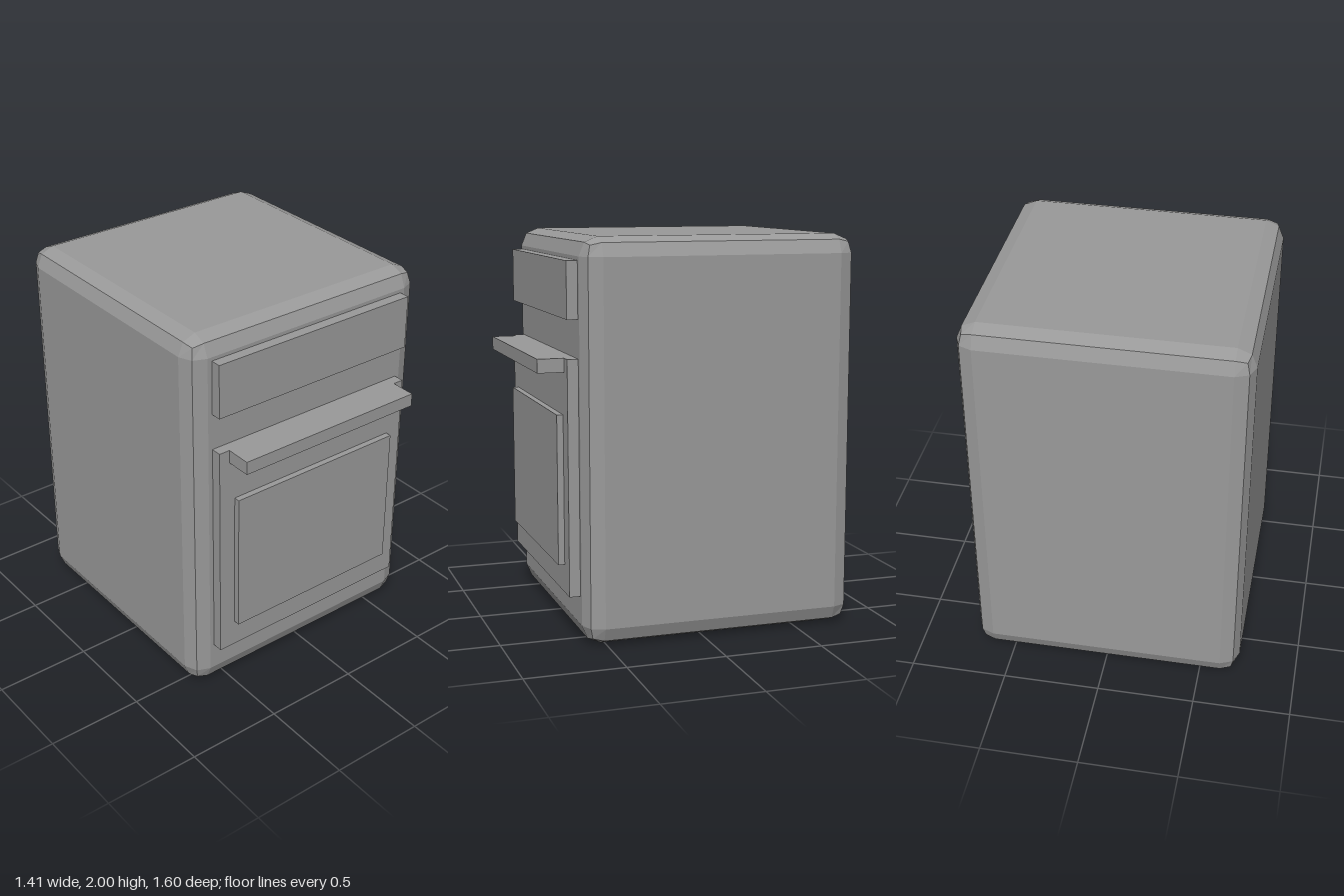
import * as THREE from 'three';
import { RoundedBoxGeometry } from 'three/addons/geometries/RoundedBoxGeometry.js';

export function createModel() {
  const group = new THREE.Group();
  const grey = new THREE.MeshStandardMaterial({ color: 0x999999 });
  grey.name = 'grey';

  const add = (name, geometry, x, y, z) => {
    const mesh = new THREE.Mesh(geometry, grey);
    mesh.name = name;
    mesh.position.set(x, y, z);
    group.add(mesh);
  };

  // Cabinet with two-step bevelled edges and flat facets
  const back = -0.8, front = 0.612;
  const body = new RoundedBoxGeometry(1.408, 2, front - back, 1, 0.095);
  body.computeVertexNormals();
  add('body', body, 0, 1, (back + front) / 2);

  // Slabs stacked on the front: name, width, bottom, top, rear z, front z
  const slabs = [
    ['controlPanel', 1.17, 1.605, 1.886, 0.6, 0.667],
    ['door', 1.17, 0.238, 1.415, 0.6, 0.667],
    ['doorWindow', 0.99, 0.381, 1.134, 0.66, 0.699],
    ['handle', 1.054, 1.346, 1.415, 0.667, 0.8],
  ];
  for (const [name, w, y0, y1, z0, z1] of slabs) {
    add(name, new THREE.BoxGeometry(w, y1 - y0, z1 - z0), 0, (y0 + y1) / 2, (z0 + z1) / 2);
  }
  return group;
}
